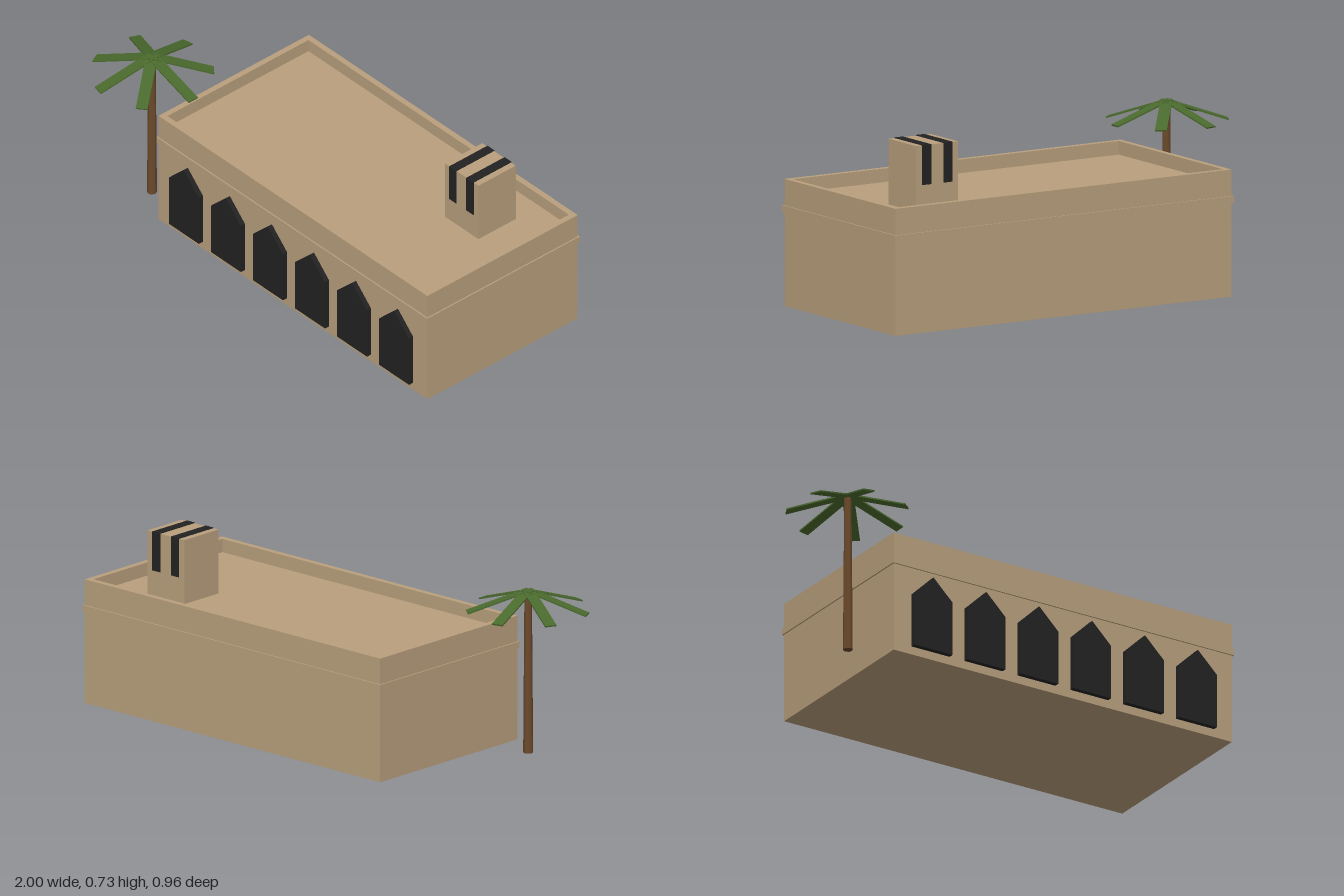
import * as THREE from 'three';

const mat = (name, color) => {
  const m = new THREE.MeshStandardMaterial({ color });
  m.name = name;
  return m;
};

export function createModel() {
  const sand = mat('sandstone', 0xb89f7c);
  const dark = mat('dark opening', 0x222222);
  const bark = mat('bark', 0x6b4a2b);
  const leaf = mat('palm green', 0x4a6a2d);

  const model = new THREE.Group();
  const add = (parent, name, geometry, material, x = 0, y = 0, z = 0) => {
    const mesh = new THREE.Mesh(geometry, material);
    mesh.name = name;
    mesh.position.set(x, y, z);
    parent.add(mesh);
    return mesh;
  };
  const box = (parent, name, material, w, h, d, x, y, z) =>
    add(parent, name, new THREE.BoxGeometry(w, h, d), material, x, y + h / 2, z);

  // Main hall: solid block up to the roof deck, ringed by a parapet
  const cx = 0.187, cz = -0.07, W = 1.605, D = 0.805;
  const roofY = 0.46, topY = 0.515, wall = 0.025;
  const hall = new THREE.Group();
  hall.name = 'hall';
  model.add(hall);
  box(hall, 'walls', sand, W, roofY, D, cx, 0, cz);
  box(hall, 'ledge', sand, W + 0.012, 0.028, D + 0.012, cx, 0.38, cz);

  const rect = (Type, w, d) => new Type([
    new THREE.Vector2(-w / 2, -d / 2), new THREE.Vector2(w / 2, -d / 2),
    new THREE.Vector2(w / 2, d / 2), new THREE.Vector2(-w / 2, d / 2),
  ]);
  const ring = rect(THREE.Shape, W, D);
  ring.holes.push(rect(THREE.Path, W - 2 * wall, D - 2 * wall));
  const parapet = new THREE.ExtrudeGeometry(ring, { depth: topY - roofY, bevelEnabled: false });
  parapet.rotateX(-Math.PI / 2);
  add(hall, 'parapet', parapet, sand, cx, roofY, cz);

  // Row of six pointed arches along the front
  const arch = new THREE.Shape();
  arch.moveTo(-0.09, 0.035);
  arch.lineTo(0.09, 0.035);
  arch.lineTo(0.09, 0.265);
  arch.lineTo(0, 0.353);
  arch.lineTo(-0.09, 0.265);
  arch.closePath();
  const archGeometry = new THREE.ExtrudeGeometry(arch, { depth: 0.026, bevelEnabled: false });
  for (let i = 0; i < 6; i++) {
    add(hall, 'archedOpening', archGeometry, dark, cx + (i - 2.5) * 0.251, 0, 0.328);
  }

  // Wind tower on the roof with two dark vents wrapping over its top
  const tower = new THREE.Group();
  tower.name = 'windTower';
  model.add(tower);
  box(tower, 'towerBlock', sand, 0.2, 0.726 - roofY, 0.2, 0.69, roofY, -0.22);
  for (const side of [-1, 1]) {
    box(tower, 'vent', dark, 0.042, 0.162, 0.206, 0.69 + side * 0.051, 0.566, -0.22);
  }

  // Palm tree: tapered trunk and seven drooping flat fronds
  const palm = new THREE.Group();
  palm.name = 'palm';
  palm.position.set(-0.768, 0, 0.231);
  model.add(palm);
  const trunk = new THREE.CylinderGeometry(0.015, 0.02, 0.665, 8).toNonIndexed();
  trunk.computeVertexNormals();
  add(palm, 'trunk', trunk, bark, 0, 0.3325, 0);

  const length = 0.26, droop = 0.318;
  const frond = new THREE.BoxGeometry(length, 0.006, 0.048);
  frond.translate(length / 2, 0, 0);
  frond.rotateZ(-droop);
  for (let i = 0; i < 7; i++) {
    add(palm, 'frond', frond, leaf, 0, 0.676, 0).rotation.y = (i / 7) * Math.PI * 2;
  }

  return model;
}
